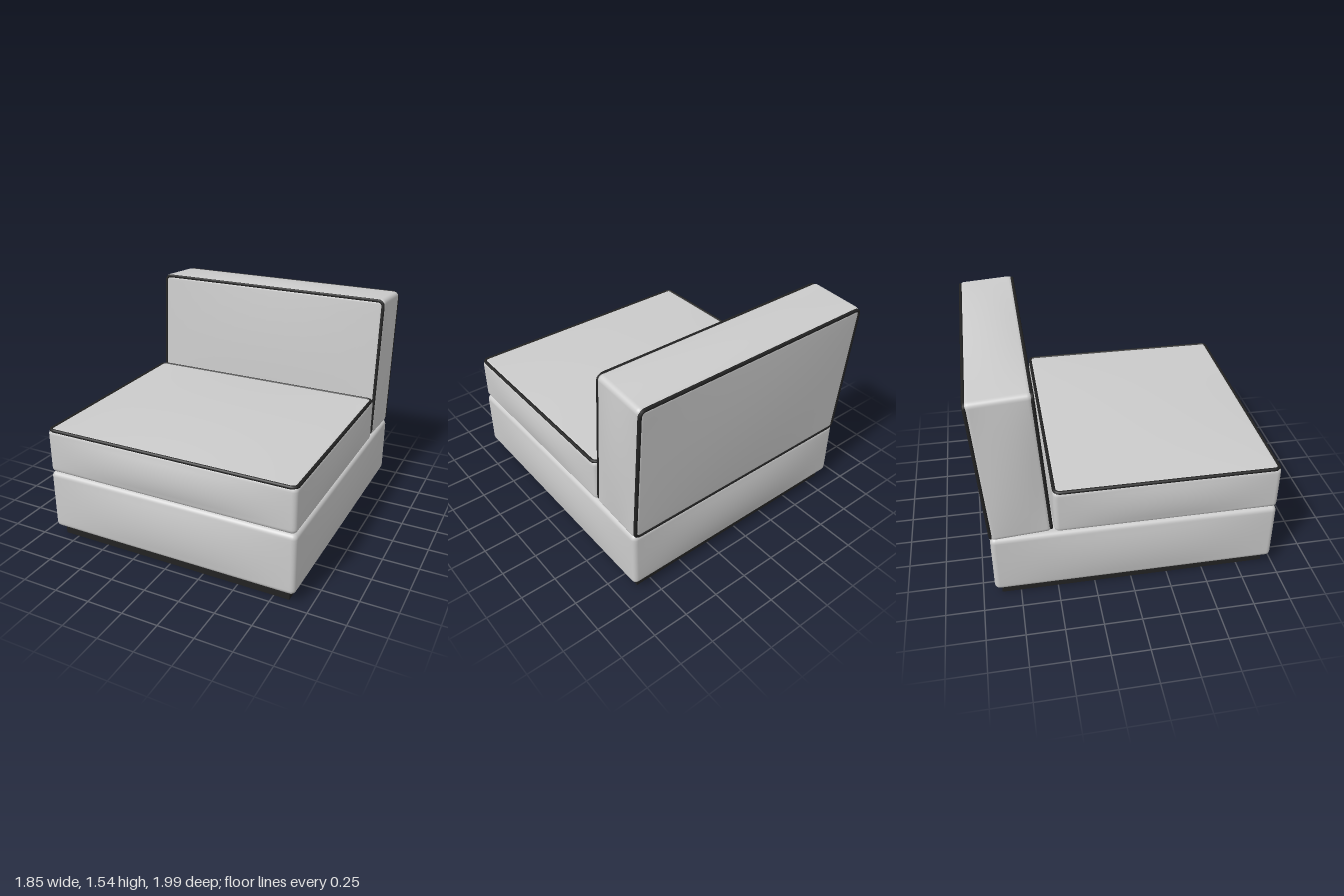
import * as THREE from 'three';
import { mergeVertices } from 'three/addons/utils/BufferGeometryUtils.js';

const fabric = new THREE.MeshStandardMaterial({ color: 0xcccccc });
const dark = new THREE.MeshStandardMaterial({ color: 0x222222 });

// Rounded box whose faces swell outwards by bulge [x, y, z]
function cushionGeometry(size, radius, bulge) {
  const CORNER = 4, MIDDLE = 12, N = CORNER * 2 + MIDDLE;
  const half = size.map((s) => s / 2);
  const inner = half.map((h) => h - radius);
  const geo = new THREE.BoxGeometry(2, 2, 2, N, N, N);
  geo.deleteAttribute('uv');
  geo.deleteAttribute('normal');
  const merged = mergeVertices(geo, 1e-4);
  const pos = merged.attributes.position;

  // Concentrate grid lines in the rounded border
  const remap = (t, a) => {
    const k = Math.abs(t) * N / 2, flat = MIDDLE / 2;
    const d = k <= flat ? inner[a] * k / flat : inner[a] + radius * (k - flat) / CORNER;
    return Math.sign(t) * d;
  };

  for (let i = 0; i < pos.count; i++) {
    const p = [pos.getX(i), pos.getY(i), pos.getZ(i)].map(remap);
    const c = p.map((v, a) => THREE.MathUtils.clamp(v, -inner[a], inner[a]));
    const dir = new THREE.Vector3(p[0] - c[0], p[1] - c[1], p[2] - c[2]).normalize().toArray();
    const fall = c.map((v, a) => 1 - (v / inner[a]) ** 2);
    const out = c.map((v, a) =>
      v + dir[a] * (radius + bulge[a] * fall[(a + 1) % 3] * fall[(a + 2) % 3]));
    pos.setXYZ(i, ...out);
  }
  merged.computeVertexNormals();
  return merged;
}

// Closed cord around a rounded rectangle in the XY plane
function pipingGeometry(w, h, corner, thickness) {
  const x = w / 2 - corner, y = h / 2 - corner;
  const points = [];
  [[x, y], [-x, y], [-x, -y], [x, -y]].forEach(([cx, cy], q) => {
    for (let i = 0; i <= 4; i++) {
      const a = (q + i / 4) * Math.PI / 2;
      points.push(new THREE.Vector3(cx + corner * Math.cos(a), cy + corner * Math.sin(a), 0));
    }
  });
  const path = new THREE.CurvePath();
  points.forEach((p, i) => path.add(new THREE.LineCurve3(p, points[(i + 1) % points.length])));
  path.arcLengthDivisions = 1500;
  return new THREE.TubeGeometry(path, 360, thickness, 8, true);
}

function addMesh(parent, name, geometry, material, x = 0, y = 0, z = 0) {
  const mesh = new THREE.Mesh(geometry, material);
  mesh.name = name;
  mesh.position.set(x, y, z);
  parent.add(mesh);
  return mesh;
}

export function createModel() {
  const model = new THREE.Group();
  model.name = 'armlessChair';

  // Recessed plinth
  addMesh(model, 'plinth', new THREE.BoxGeometry(1.71, 0.08, 1.805), dark, 0, 0.04, 0.0275);

  // Upholstered base
  addMesh(model, 'base', cushionGeometry([1.81, 0.43, 1.9], 0.035, [0.018, 0, 0.02]), fabric,
    0, 0.285, 0.03);

  // Seat cushion with a cord around its top edge
  const seat = new THREE.Group();
  seat.name = 'seat';
  seat.position.set(0, 0.66, 0.235);
  addMesh(seat, 'seatCushion', cushionGeometry([1.8, 0.32, 1.49], 0.035, [0.015, 0.022, 0.02]), fabric);
  const seatPiping = addMesh(seat, 'seatPiping', pipingGeometry(1.776, 1.466, 0.035, 0.012), dark, 0, 0.153, 0);
  seatPiping.rotation.x = Math.PI / 2;
  model.add(seat);

  // Reclined back cushion with cords around its front and rear faces
  const back = new THREE.Group();
  back.name = 'backrest';
  back.position.set(0, 1.013, -0.755);
  back.rotation.x = -0.069;
  addMesh(back, 'backCushion', cushionGeometry([1.8, 1.03, 0.4], 0.035, [0.02, 0.016, 0.014]), fabric);
  for (const [name, side] of [['frontPiping', 1], ['rearPiping', -1]]) {
    addMesh(back, name, pipingGeometry(1.776, 1.006, 0.035, 0.012), dark, 0, 0, side * 0.193);
  }
  model.add(back);

  return model;
}
